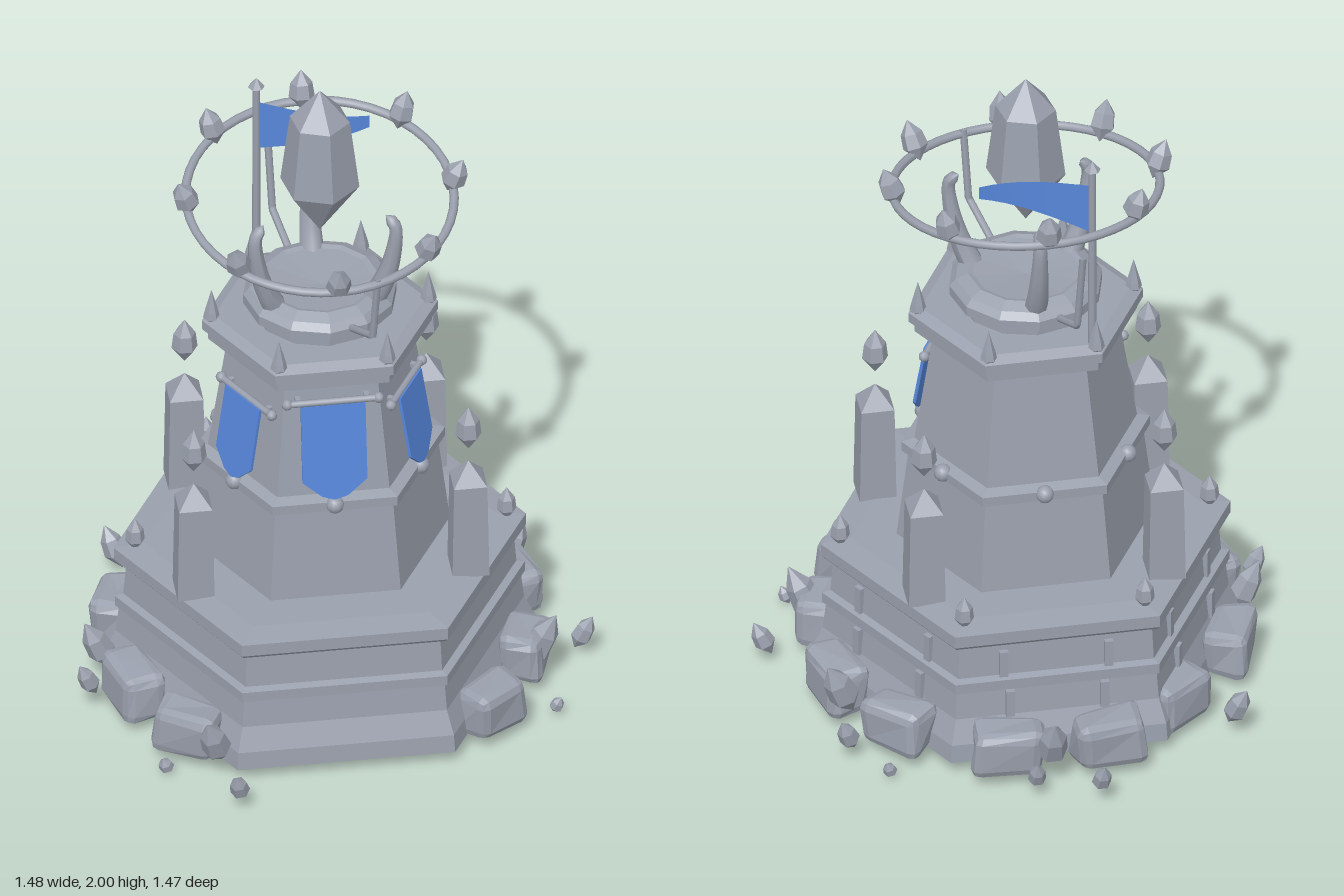
import * as THREE from 'three';
import { RoundedBoxGeometry } from 'three/addons/geometries/RoundedBoxGeometry.js';

const stone = new THREE.MeshStandardMaterial({ color: 0x9aa0ad });
stone.name = 'stone grey';
const cloth = new THREE.MeshStandardMaterial({ color: 0x5686da, side: THREE.DoubleSide });
cloth.name = 'cloth blue';

const TAU = Math.PI * 2;

// faceted copy of a geometry
function flat(geo) {
  const g = geo.index ? geo.toNonIndexed() : geo;
  g.computeVertexNormals();
  return g;
}

function add(parent, name, geo, x = 0, y = 0, z = 0, mat = stone) {
  const m = new THREE.Mesh(geo, mat);
  m.name = name;
  m.position.set(x, y, z);
  parent.add(m);
  return m;
}

// faceted solid of revolution from [radius, height] pairs, bottom to top
function turned(points, sides = 6, start = Math.PI / 2) {
  return flat(new THREE.LatheGeometry(points.map(p => new THREE.Vector2(...p)), sides, start));
}

const crystalGeo = (r, h) =>
  turned([[0, -h / 2], [r, -h * 0.15], [r * 0.85, h * 0.18], [0, h / 2]]);

// tube along points, thinning from r0 to r1, closed at the tip
function taperedTube(points, r0, r1, segs, sides) {
  const curve = new THREE.CatmullRomCurve3(points.map(p => new THREE.Vector3(...p)));
  const geo = new THREE.TubeGeometry(curve, segs, r0, sides);
  const pos = geo.attributes.position, v = new THREE.Vector3();
  for (let i = 0; i < pos.count; i++) {
    const t = Math.floor(i / (sides + 1)) / segs;
    const c = curve.getPointAt(t);
    v.fromBufferAttribute(pos, i).sub(c).multiplyScalar(t === 1 ? 0.01 : 1 + (r1 / r0 - 1) * t).add(c);
    pos.setXYZ(i, v.x, v.y, v.z);
  }
  geo.computeVertexNormals();
  return geo;
}

// chipped block, uneven by a simple wave
function rockGeo(w, h, d, seed) {
  const geo = new RoundedBoxGeometry(w, h, d, 1, 0.028);
  const pos = geo.attributes.position;
  for (let i = 0; i < pos.count; i++) {
    const x = pos.getX(i), y = pos.getY(i), z = pos.getZ(i);
    const k = 1 + 0.07 * Math.sin(seed * 2.3 + x * 17 + y * 23 + z * 31);
    pos.setXYZ(i, x * k, y * k, z * k);
  }
  return flat(geo);
}

export function createModel() {
  const model = new THREE.Group();
  model.name = 'crystalTower';
  const tower = new THREE.Group();
  tower.name = 'tower';
  tower.position.set(-0.03, 0, 0.033);
  model.add(tower);

  // stepped hexagonal base, hollow underneath
  add(tower, 'base', turned([[0, 0.44], [0.54, 0.44], [0.545, 0.3], [0.565, 0.17], [0.606, 0.045],
    [0.618, 0.045], [0.612, 0.1], [0.58, 0.17], [0.57, 0.255],
    [0.582, 0.258], [0.582, 0.29], [0.558, 0.296], [0.55, 0.4], [0.574, 0.408], [0.585, 0.42],
    [0.585, 0.458], [0.5, 0.468], [0, 0.468]]));

  // tapering shaft with belt and cornice
  add(tower, 'shaft', turned([[0.37, 0.46], [0.335, 0.75], [0.355, 0.755], [0.355, 0.785],
    [0.318, 0.795], [0.264, 1.15], [0.29, 1.158], [0.318, 1.165], [0.318, 1.19], [0.335, 1.2],
    [0.335, 1.23], [0.3, 1.245], [0, 1.245]]));

  // round bowl under the great crystal
  add(tower, 'bowl', turned([[0.19, 1.24], [0.19, 1.265], [0.218, 1.28], [0.218, 1.31],
    [0.2, 1.33], [0.165, 1.345], [0.15, 1.34], [0, 1.325]], 12));

  // great floating crystal
  add(tower, 'greatCrystal',
    turned([[0, 1.515], [0.113, 1.68], [0.086, 1.9], [0, 2]], 6, 0.2));

  // curved prongs around the bowl, hooked inward at the tip
  const prong = taperedTube([[0, 1.3, 0.15], [0, 1.38, 0.19], [0, 1.48, 0.22], [0, 1.59, 0.228],
    [0, 1.62, 0.2]], 0.036, 0.016, 18, 8);
  for (let i = 0; i < 3; i++) add(tower, 'prong', prong).rotation.y = Math.PI + i * TAU / 3;

  // bent rods holding the ring
  const rods = [
    [[0.06, 1.305, 0.19], [0.105, 1.37, 0.325], [0.115, 1.59, 0.352]],
    [[-0.06, 1.305, -0.2], [-0.09, 1.36, -0.32], [-0.1, 1.62, -0.355]]];
  for (const pts of rods) {
    const path = new THREE.CurvePath(), p = pts.map(a => new THREE.Vector3(...a));
    path.add(new THREE.LineCurve3(p[0], p[1]));
    path.add(new THREE.LineCurve3(p[1], p[2]));
    add(tower, 'ringRod', new THREE.TubeGeometry(path, 24, 0.011, 6));
  }

  // tilted ring with eight crystals
  const ring = new THREE.Group();
  ring.name = 'crystalRing';
  ring.position.y = 1.63;
  ring.rotation.x = 0.16;
  tower.add(ring);
  add(ring, 'ringHoop', new THREE.TorusGeometry(0.378, 0.013, 8, 48)).rotation.x = Math.PI / 2;
  const ringCrystal = crystalGeo(0.037, 0.125);
  for (let i = 0; i < 8; i++) {
    const arm = new THREE.Group();
    arm.name = 'ringCrystalArm';
    arm.rotation.y = i * TAU / 8;
    ring.add(arm);
    add(arm, 'ringCrystal', ringCrystal, 0, 0.04, 0.383).rotation.x = 0.35;
  }

  // cornice spikes and belt studs
  const spike = turned([[0, 1.215], [0.024, 1.24], [0.02, 1.26], [0, 1.335]]);
  const stud = new THREE.SphereGeometry(0.026, 10, 8);
  for (let i = 0; i < 6; i++) {
    const a = i * TAU / 6, b = a + TAU / 12;
    add(tower, 'corniceSpike', spike, 0.308 * Math.cos(a), 0, 0.308 * Math.sin(a));
    add(tower, 'beltStud', stud, 0.305 * Math.cos(b), 0.775, 0.305 * Math.sin(b));
  }

  // banners on the three front faces
  const barEnd = new THREE.SphereGeometry(0.016, 8, 6);
  for (const side of [-1, 0, 1]) {
    const face = new THREE.Group();
    face.name = 'bannerFace';
    face.rotation.y = side * Math.PI / 3;
    tower.add(face);
    const w = side ? 0.078 : 0.092, len = side ? 0.26 : 0.31, top = side ? 1.05 : 1.105;
    const shape = new THREE.Shape([[-w, 0], [-w, 0.06 - len], [-w * 0.4, 0.012 - len], [0, -len],
      [w * 0.4, 0.012 - len], [w, 0.06 - len], [w, 0]].map(p => new THREE.Vector2(...p)));
    const banner = add(face, 'banner',
      new THREE.ExtrudeGeometry(shape, { depth: 0.009, bevelEnabled: false }), 0, top, side ? 0.268 : 0.258, cloth);
    banner.rotation.x = -0.165;
    const half = side ? 0.115 : 0.13;
    const bar = add(face, 'bannerBar', new THREE.CylinderGeometry(0.01, 0.01, half * 2, 8), 0, top, 0.262);
    bar.rotation.z = Math.PI / 2;
    for (const s of [-1, 1]) {
      add(face, 'barKnob', barEnd, s * half, top, 0.262);
      add(face, 'barPeg', new THREE.BoxGeometry(0.014, 0.014, 0.05), s * half * 0.75, top, 0.24);
    }
  }

  // masonry ribs on the three rear faces
  for (const side of [-1, 0, 1]) {
    const face = new THREE.Group();
    face.name = 'ribFace';
    face.rotation.y = Math.PI + side * Math.PI / 3;
    tower.add(face);
    for (const x of [-0.15, 0.15]) {
      add(face, 'upperRib', new THREE.BoxGeometry(0.025, 0.085, 0.03), x, 0.335, 0.478);
      add(face, 'lowerRib', new THREE.BoxGeometry(0.025, 0.085, 0.03), x * 0.9, 0.21, 0.497);
    }
  }

  // flagpole with waving pennant
  add(model, 'flagpole', new THREE.CylinderGeometry(0.011, 0.012, 0.62, 8), -0.175, 1.53, -0.218);
  add(model, 'poleTip', turned([[0, 1.838], [0.024, 1.845], [0, 1.875]]), -0.175, 0, -0.218);
  const pennant = new THREE.PlaneGeometry(1, 1, 8, 1);
  const pp = pennant.attributes.position;
  for (let i = 0; i < pp.count; i++) {
    const t = pp.getX(i) + 0.5, s = pp.getY(i);
    pp.setXYZ(i, -0.17 + 0.305 * t, 1.71 + 0.038 * t + s * (0.16 - 0.12 * t),
      -0.218 + 0.08 * Math.sin(t * 1.8));
  }
  pennant.computeVertexNormals();
  add(model, 'pennant', pennant, 0, 0, 0, cloth);

  // corner pillars with floating crystals
  const pillar = turned([[0.074, 0.46], [0.067, 0.765], [0, 0.83]], 4, Math.PI / 4);
  const floating = crystalGeo(0.037, 0.145);
  for (const [x, z] of [[-0.373, -0.26], [0.313, -0.26], [-0.42, 0.258], [0.36, 0.258]]) {
    add(model, 'pillar', pillar, x, 0, z);
    add(model, 'pillarCrystal', floating, x, 0.945, z);
  }

  // small crystals on the base rim
  const rim = crystalGeo(0.028, 0.11);
  for (const [x, z] of [[-0.29, -0.415], [0.227, -0.42], [0.5, 0.033], [-0.555, 0.033]])
    add(model, 'rimCrystal', rim, x, 0.5, z);

  // fallen blocks: x, z, turn, length
  [[-0.163, -0.544, 0.17, 0.2], [0.123, -0.54, -0.15, 0.2], [-0.38, -0.382, 0.65, 0.19],
    [0.405, -0.37, -0.75, 0.19], [-0.58, -0.15, 1.2, 0.19], [0.54, -0.13, -1.3, 0.2],
    [-0.585, 0.21, -1.3, 0.19], [-0.457, 0.433, -0.6, 0.19], [0.397, 0.444, 0.65, 0.18],
    [0.53, 0.19, 1.2, 0.17]].forEach(([x, z, turn, len], i) => {
    add(model, 'fallenBlock', rockGeo(len, 0.145, 0.125, i), x, 0.11, z).rotation.y = turn;
  });

  // shards around the foot: x, y, z, radius, height
  for (const [x, y, z, r, h] of [[-0.115, 0.09, -0.71, 0.028, 0.11], [0.008, 0.15, -0.605, 0.045, 0.21],
    [0.06, 0.08, -0.65, 0.026, 0.11], [-0.548, 0.1, -0.452, 0.034, 0.14], [0.452, 0.035, -0.488, 0.02, 0.06],
    [0.552, 0.09, -0.38, 0.03, 0.12], [0.548, 0.15, -0.24, 0.045, 0.2], [-0.663, 0.14, 0.055, 0.04, 0.18],
    [-0.71, 0.12, 0.187, 0.028, 0.12], [0.706, 0.09, 0.119, 0.03, 0.12], [0.57, 0.15, 0.22, 0.045, 0.21],
    [0.595, 0.04, 0.38, 0.02, 0.06], [-0.532, 0.03, 0.496, 0.022, 0.06], [-0.4, 0.13, 0.54, 0.042, 0.19],
    [-0.353, 0.085, 0.702, 0.028, 0.11]]) {
    const s = add(model, 'shard', crystalGeo(r, h), x, y, z);
    const d = Math.hypot(x, z);
    s.rotation.set(0.45 * z / d, 0, -0.45 * x / d);
  }
  return model;
}
